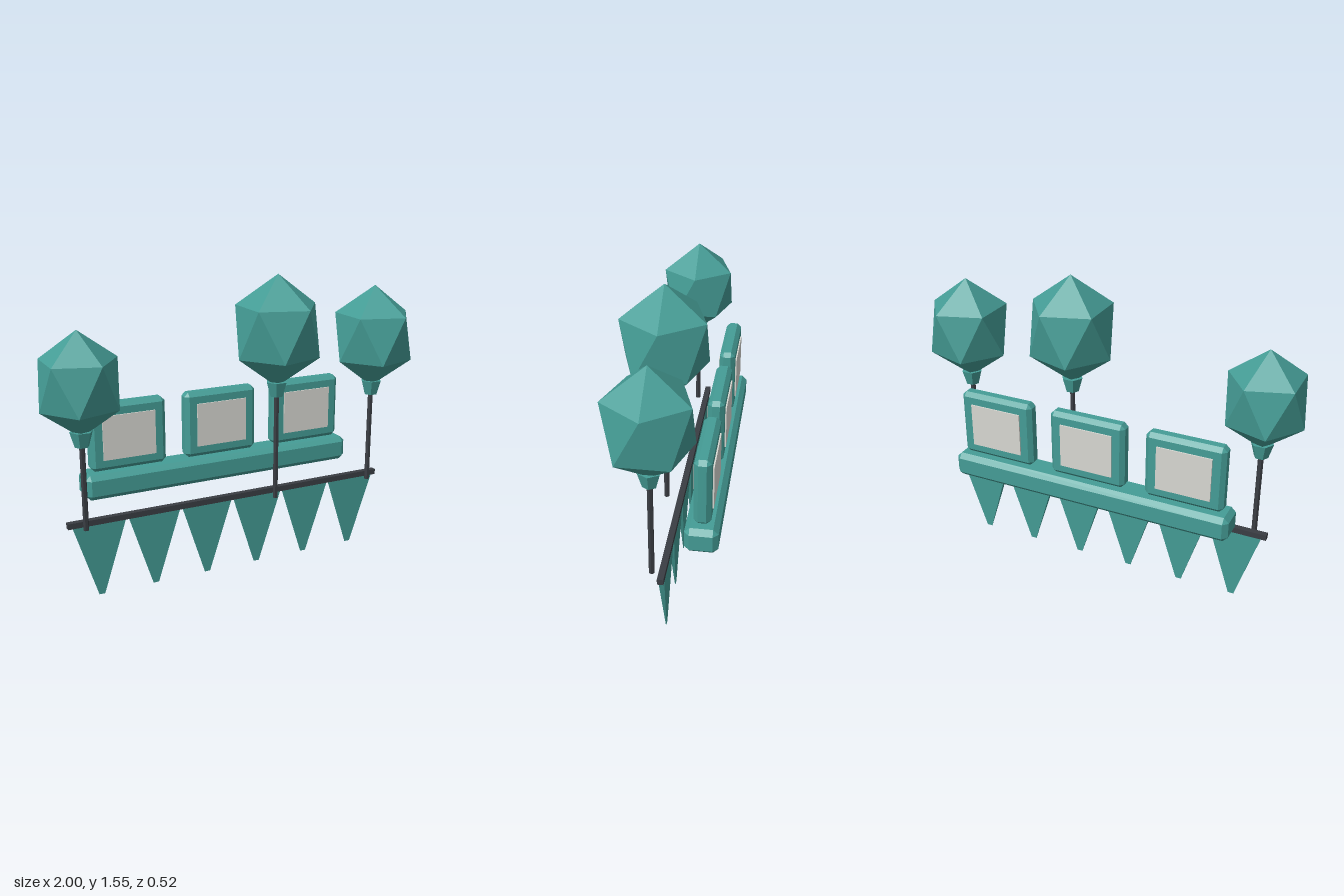
import * as THREE from 'three';
import { ConvexGeometry } from 'three/addons/geometries/ConvexGeometry.js';

const paint = (name, color, flatShading = true) => {
  const m = new THREE.MeshStandardMaterial({ color, flatShading });
  m.name = name;
  return m;
};

// Box with every edge cut by a single flat chamfer
function chamferBox(w, h, d, c) {
  const pts = [];
  for (const x of [-1, 1]) for (const y of [-1, 1]) for (const z of [-1, 1]) {
    for (let axis = 0; axis < 3; axis++) {
      const cut = [c, c, c];
      cut[axis] = 0;
      pts.push(new THREE.Vector3(x * (w / 2 - cut[0]), y * (h / 2 - cut[1]), z * (d / 2 - cut[2])));
    }
  }
  return new ConvexGeometry(pts);
}

// Box that shrinks towards its lower end
function taperedBox(w, h, d, lowerScale) {
  const g = new THREE.BoxGeometry(w, h, d);
  const p = g.attributes.position;
  for (let i = 0; i < p.count; i++) {
    if (p.getY(i) < 0) p.setXYZ(i, p.getX(i) * lowerScale, p.getY(i), p.getZ(i) * lowerScale);
  }
  g.computeVertexNormals();
  return g;
}

// Icosahedron standing on a corner, with an upper ring corner towards +x
function uprightIcosahedron() {
  const pts = [new THREE.Vector3(0, 1, 0), new THREE.Vector3(0, -1, 0)];
  const ringY = 1 / Math.sqrt(5), ringR = 2 / Math.sqrt(5);
  for (let i = 0; i < 5; i++) {
    const a = (i * Math.PI * 2) / 5;
    pts.push(new THREE.Vector3(Math.cos(a) * ringR, ringY, Math.sin(a) * ringR));
    pts.push(new THREE.Vector3(-Math.cos(a) * ringR, -ringY, -Math.sin(a) * ringR));
  }
  return new ConvexGeometry(pts);
}

export function createModel() {
  const model = new THREE.Group();
  model.name = 'partyDecorations';
  const teal = paint('teal', 0x459d96);
  const dark = paint('darkGrey', 0x3a3d43);
  const pale = paint('paleGrey', 0xd8d8d2);

  const add = (parent, name, geometry, material, x, y, z) => {
    const mesh = new THREE.Mesh(geometry, material);
    mesh.name = name;
    mesh.position.set(x, y, z);
    parent.add(mesh);
    return mesh;
  };

  // Rail with a row of hanging pennants
  add(model, 'rail', new THREE.BoxGeometry(1.764, 0.029, 0.03), dark, -0.007, 0.395, -0.02);
  const pennant = taperedBox(0.268, 0.385, 0.029, 0.11);
  for (let i = 0; i < 6; i++) {
    add(model, 'pennant', pennant, teal, -0.73 + i * 0.289, 0.1925, -0.02);
  }

  // Long chamfered base behind the rail
  const backZ = -0.183;
  add(model, 'base', chamferBox(1.495, 0.13, 0.158, 0.025), teal, -0.008, 0.525, backZ);

  // Three framed panels with a pale plate on both faces
  const frame = chamferBox(0.4, 0.345, 0.08, 0.021);
  const plate = new THREE.BoxGeometry(0.277, 0.227, 0.009);
  for (const x of [-0.515, -0.007, 0.5]) {
    const panel = new THREE.Group();
    panel.name = 'panel';
    panel.position.set(x, 0.767, backZ);
    add(panel, 'frame', frame, teal, 0, 0, 0);
    add(panel, 'frontPlate', plate, pale, 0, 0, 0.0425);
    add(panel, 'backPlate', plate, pale, 0, 0, -0.0425);
    model.add(panel);
  }

  // Balloons on poles: x, z, centre height, radius, height of the knot's lower end
  const balloon = uprightIcosahedron();
  const knot = new THREE.CylinderGeometry(0.057, 0.035, 0.076, 6);
  knot.rotateY(Math.PI / 6);
  const poleFoot = 0.38;
  for (const [x, z, y, r, knotY] of [
    [-0.81, 0.03, 1.1, 0.213, 0.802],
    [0.206, 0.057, 1.262, 0.238, 0.93],
    [0.795, 0.032, 1.18, 0.226, 0.866],
  ]) {
    const stand = new THREE.Group();
    stand.name = 'balloonStand';
    stand.position.set(x, 0, z);
    add(stand, 'balloon', balloon, teal, 0, y, 0).scale.set(r, r * 1.19, r);
    add(stand, 'knot', knot, teal, 0, knotY + 0.038, 0);
    const length = knotY - poleFoot + 0.02;
    const pole = new THREE.CylinderGeometry(0.014, 0.014, length, 6);
    pole.rotateY(Math.PI / 6);
    add(stand, 'pole', pole, dark, 0, poleFoot + length / 2, 0);
    model.add(stand);
  }

  return model;
}
